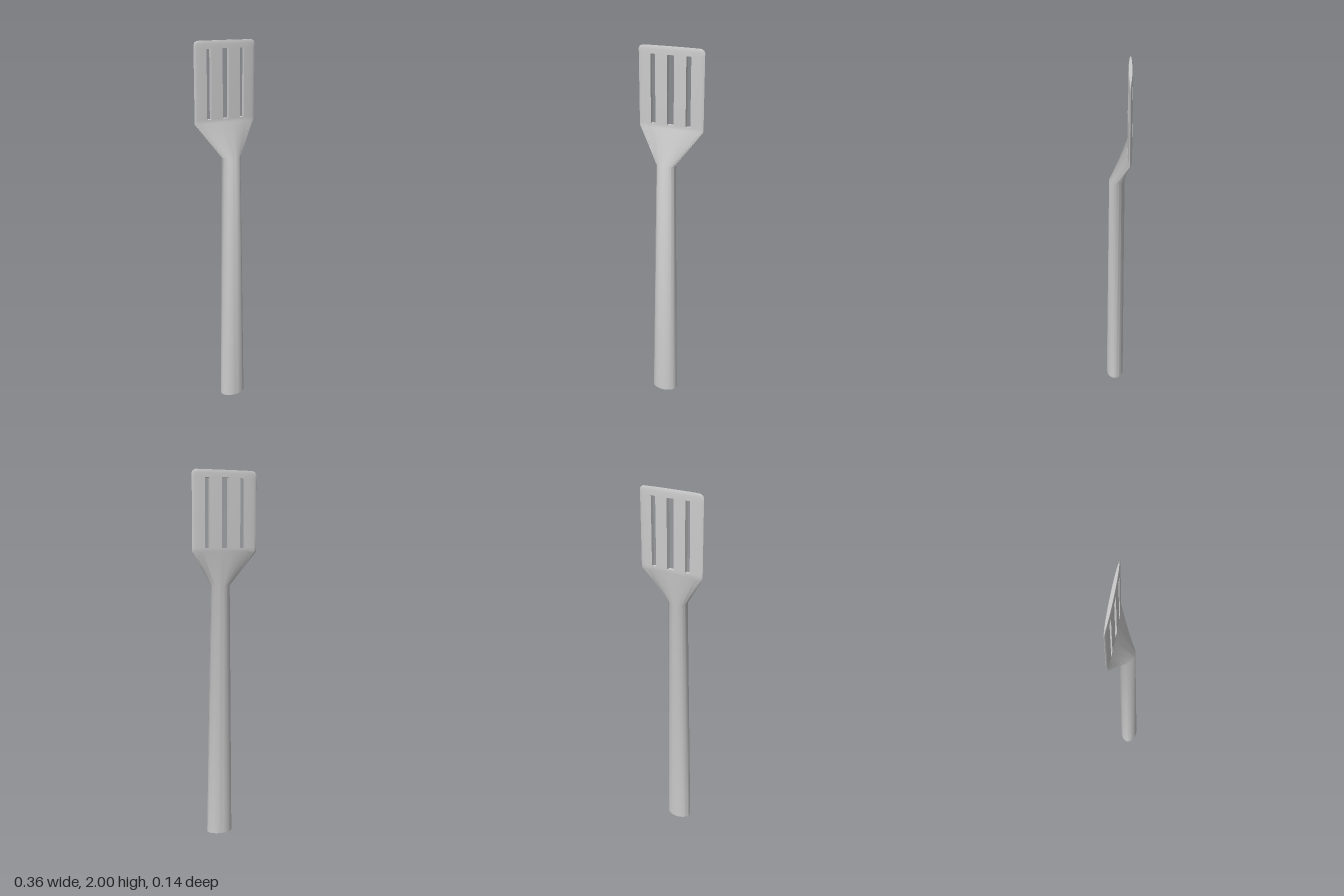
import * as THREE from 'three';
import { toCreasedNormals } from 'three/addons/utils/BufferGeometryUtils.js';

// Elliptical cross-sections from the butt of the handle to the tip of the blade
const SECTIONS = [
  { y: 0, rx: 0.072, rz: 0.05, cz: 0.02 },
  { y: 1.4, rx: 0.053, rz: 0.04, cz: 0.005 },
  { y: 1.58, rx: 0.18, rz: 0.012, cz: -0.06 },
  { y: 1.6, rx: 0.18, rz: 0.012, cz: -0.06 },
  { y: 1.96, rx: 0.18, rz: 0.012, cz: -0.06 },
  { y: 1.982, rx: 0.18, rz: 0.011, cz: -0.06 },
  { y: 1.993, rx: 0.174, rz: 0.01, cz: -0.06 },
  { y: 2, rx: 0.16, rz: 0.008, cz: -0.06 },
];
const NECK_ROW = 1; // the blade part starts above this section
const SLOT_ROW = 3; // the slots are cut between this section and the next

// Slots, as fractions of the blade's half width
const SLOTS = [[-0.617, -0.472], [-0.106, 0.106], [0.472, 0.617]];

// Columns across the width, with one on every slot edge
function makeColumns() {
  const us = SLOTS.flat();
  for (let i = 0; i <= 24; i++) {
    const u = -Math.cos((i * Math.PI) / 24);
    if (us.every((s) => Math.abs(s - u) > 0.004)) us.push(u);
  }
  return us.sort((a, b) => a - b);
}

// side is +1 for the front surface and -1 for the back
function point(section, u, side) {
  const z = section.cz + side * section.rz * Math.sqrt(Math.max(0, 1 - u * u));
  return new THREE.Vector3(u * section.rx, section.y, z);
}

function buildShell() {
  const positions = [];
  const area = new THREE.Triangle();
  const tri = (a, b, c) => {
    if (area.set(a, b, c).getArea() < 1e-9) return;
    for (const p of [a, b, c]) positions.push(p.x, p.y, p.z);
  };
  const quad = (a, b, c, d) => {
    tri(a, b, c);
    tri(a, c, d);
  };
  const us = makeColumns();

  // End cap across a section, facing up or down
  const cap = (s, up) => {
    for (let i = 0; i < us.length - 1; i++) {
      const corners = [point(s, us[i], -1), point(s, us[i + 1], -1),
        point(s, us[i + 1], 1), point(s, us[i], 1)];
      quad(...(up ? corners.reverse() : corners));
    }
  };

  cap(SECTIONS[0], false);
  let split = 0;
  for (let r = 0; r < SECTIONS.length - 1; r++) {
    if (r === NECK_ROW) split = positions.length;
    const lo = SECTIONS[r], hi = SECTIONS[r + 1];
    for (let i = 0; i < us.length - 1; i++) {
      const u0 = us[i], u1 = us[i + 1], mid = (u0 + u1) / 2;
      const inSlot = r === SLOT_ROW && SLOTS.some(([a, b]) => mid > a && mid < b);
      if (inSlot) {
        // Floor and ceiling of the slot
        quad(point(lo, u0, 1), point(lo, u1, 1), point(lo, u1, -1), point(lo, u0, -1));
        quad(point(hi, u0, -1), point(hi, u1, -1), point(hi, u1, 1), point(hi, u0, 1));
      } else {
        // Front and back skin
        quad(point(lo, u0, 1), point(lo, u1, 1), point(hi, u1, 1), point(hi, u0, 1));
        quad(point(hi, u0, -1), point(hi, u1, -1), point(lo, u1, -1), point(lo, u0, -1));
      }
    }
    // Side walls of the slots
    if (r === SLOT_ROW) {
      for (const [a, b] of SLOTS) {
        quad(point(lo, a, 1), point(lo, a, -1), point(hi, a, -1), point(hi, a, 1));
        quad(point(hi, b, 1), point(hi, b, -1), point(lo, b, -1), point(lo, b, 1));
      }
    }
  }
  cap(SECTIONS[SECTIONS.length - 1], true);

  const geometry = new THREE.BufferGeometry();
  geometry.setAttribute('position', new THREE.Float32BufferAttribute(positions, 3));
  return { geometry: toCreasedNormals(geometry, 0.75), split };
}

// Cuts a run of triangles out of the shell, keeping its smooth normals
function slicePart(geometry, start, end) {
  const part = new THREE.BufferGeometry();
  for (const key of ['position', 'normal']) {
    const values = geometry.attributes[key].array.slice(start, end);
    part.setAttribute(key, new THREE.BufferAttribute(values, 3));
  }
  return part;
}

export function createModel() {
  const group = new THREE.Group();
  group.name = 'slottedTurner';
  const material = new THREE.MeshStandardMaterial({ color: 0xcccccc });
  const { geometry, split } = buildShell();

  const handle = new THREE.Mesh(slicePart(geometry, 0, split), material);
  handle.name = 'handle';
  const blade = new THREE.Mesh(slicePart(geometry, split), material);
  blade.name = 'slottedBlade';
  group.add(handle, blade);
  return group;
}
